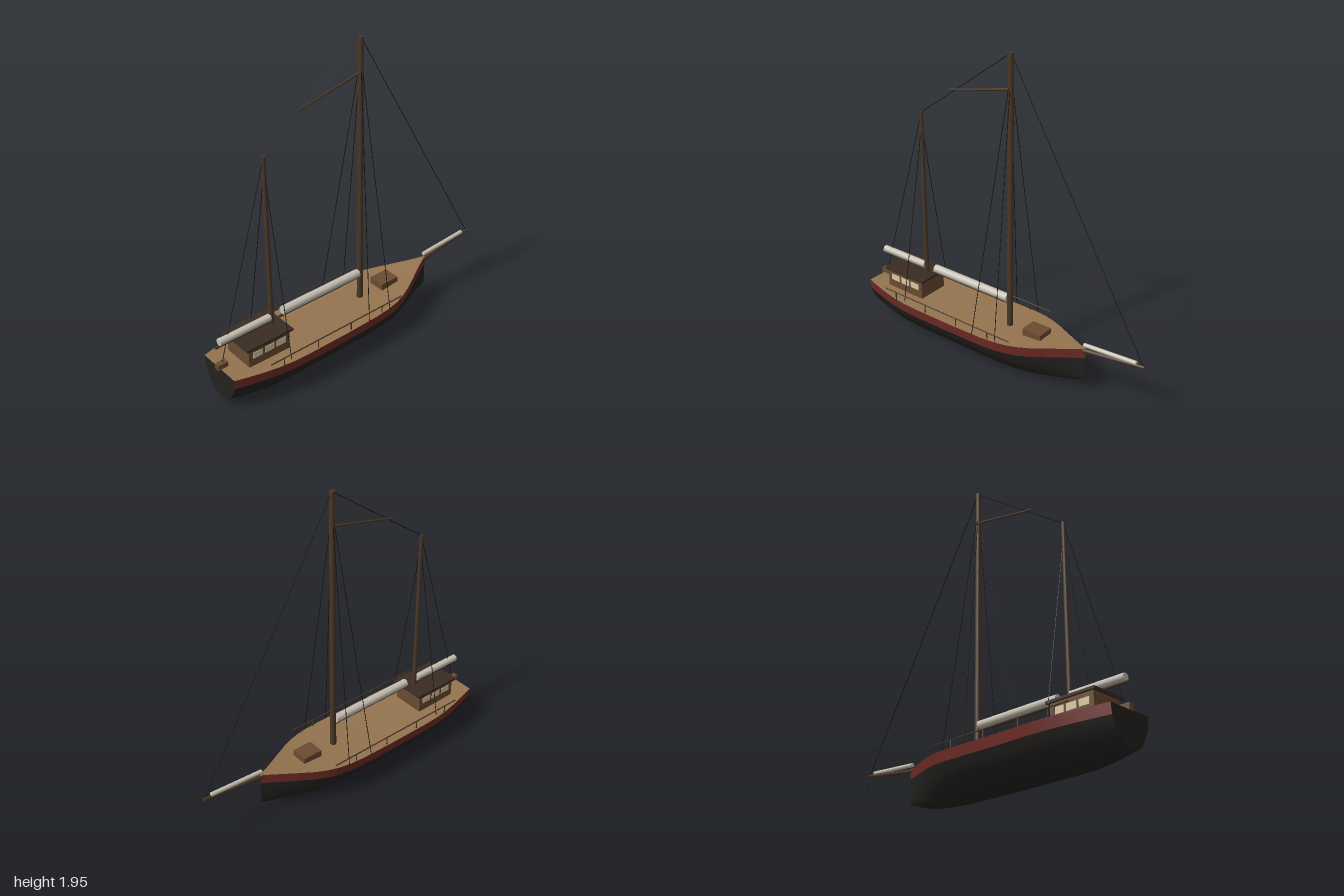
import * as THREE from 'three';

const paint = (color) => new THREE.MeshStandardMaterial({ color });
const MAT = {
  hull: paint(0x24221f), band: paint(0x6e2a25), deck: paint(0x94744f), spar: paint(0x4a3727),
  sail: paint(0xc8c2b4), cabin: paint(0x6b4b30), roof: paint(0x3a2c23), glass: paint(0xd6c9a2), rope: paint(0x151311),
};

// Hull stations from bow (-z) to stern (+z): z, half beam, keel height, sheer height
const STATIONS = [
  [-0.61, 0.003, 0.09, 0.3], [-0.55, 0.03, 0.064, 0.291], [-0.48, 0.067, 0.041, 0.282], [-0.4, 0.11, 0.021, 0.272],
  [-0.32, 0.152, 0.008, 0.263], [-0.25, 0.182, 0.002, 0.257], [-0.18, 0.203, 0, 0.252], [-0.1, 0.216, 0, 0.248],
  [0, 0.222, 0, 0.244], [0.25, 0.224, 0, 0.24], [0.5, 0.224, 0, 0.24], [0.62, 0.22, 0, 0.24],
  [0.72, 0.208, 0.001, 0.241], [0.8, 0.193, 0.008, 0.243], [0.9, 0.169, 0.022, 0.246], [0.985, 0.147, 0.036, 0.25],
];
// Cross-section: height fraction, beam fraction
const SECTION = [[0, 0], [0.075, 0.33], [0.19, 0.57], [0.4, 0.78], [0.56, 0.885], [0.72, 0.96], [1, 1]];
const BAND = 0.062;

function beamAt(t) {
  const i = Math.max(1, SECTION.findIndex((p) => p[0] >= t));
  const [t0, b0] = SECTION[i - 1], [t1, b1] = SECTION[i];
  return b0 + ((b1 - b0) * (t - t0)) / (t1 - t0);
}

// Skin a grid of points; the front faces along (row direction) x (column direction)
function loft(rows) {
  const n = rows[0].length, index = [];
  for (let i = 0; i < rows.length - 1; i++) {
    for (let j = 0; j < n - 1; j++) {
      const a = i * n + j, b = a + n;
      index.push(a, b, a + 1, b, b + 1, a + 1);
    }
  }
  const geo = new THREE.BufferGeometry();
  geo.setAttribute('position', new THREE.Float32BufferAttribute(rows.flat(2), 3));
  geo.setIndex(index);
  geo.computeVertexNormals();
  return geo;
}

export function createModel() {
  const model = new THREE.Group();

  const add = (name, geo, mat) => {
    const mesh = new THREE.Mesh(geo, mat);
    mesh.name = name;
    model.add(mesh);
    return mesh;
  };
  const box = (name, mat, [x0, x1], [y0, y1], [z0, z1]) =>
    add(name, new THREE.BoxGeometry(x1 - x0, y1 - y0, z1 - z0), mat)
      .position.set((x0 + x1) / 2, (y0 + y1) / 2, (z0 + z1) / 2);
  // Round bar between two points
  const bar = (name, mat, from, to, r0, r1 = r0, sides = 8) => {
    const a = new THREE.Vector3(...from), b = new THREE.Vector3(...to);
    const dir = b.clone().sub(a);
    const mesh = add(name, new THREE.CylinderGeometry(r1, r0, dir.length(), sides), mat);
    mesh.position.copy(a).add(b).multiplyScalar(0.5);
    mesh.quaternion.setFromUnitVectors(new THREE.Vector3(0, 1, 0), dir.normalize());
  };
  const rope = (name, from, to) => bar(name, MAT.rope, from, to, 0.0022, 0.0022, 5);

  // Hull
  const point = ([z, w, k, s], t, side) => [side * w * beamAt(t), k + (s - k) * t, z];
  const bandStart = ([, , k, s]) => 1 - BAND / (s - k);
  const lowerHeights = (st) => [bandStart(st), 0.56, 0.4, 0.19, 0.075];
  add('hull', loft(STATIONS.map((st) => {
    const ts = lowerHeights(st);
    return [...ts.map((t) => point(st, t, 1)), point(st, 0, 1),
      ...ts.slice().reverse().map((t) => point(st, t, -1))];
  })), MAT.hull);
  add('leftSheerBand', loft(STATIONS.map((st) => [point(st, 1, 1), point(st, bandStart(st), 1)])), MAT.band);
  add('rightSheerBand', loft(STATIONS.map((st) => [point(st, bandStart(st), -1), point(st, 1, -1)])), MAT.band);
  add('deck', loft(STATIONS.map((st) => [point(st, 1, -1), point(st, 1, 1)])), MAT.deck);
  const stern = STATIONS[STATIONS.length - 1];
  add('transom', loft(SECTION.map(([t]) => [point(stern, t, 1), point(stern, t, -1)])), MAT.hull);

  // Deck house with side windows
  box('cabin', MAT.cabin, [-0.104, 0.104], [0.235, 0.362], [0.568, 0.852]);
  box('cabinRoof', MAT.roof, [-0.118, 0.118], [0.361, 0.376], [0.548, 0.867]);
  for (const side of [-1, 1]) {
    for (const z of [0.627, 0.709, 0.791]) {
      box('window', MAT.glass, [side * 0.104 - 0.003, side * 0.104 + 0.003], [0.294, 0.334], [z - 0.033, z + 0.033]);
    }
  }
  box('foreHatch', MAT.cabin, [-0.054, 0.054], [0.24, 0.297], [-0.323, -0.193]);
  box('sternBlock', MAT.cabin, [-0.018, 0.018], [0.245, 0.28], [0.935, 1]);

  // Masts and spars
  bar('mainMast', MAT.spar, [0, 0.235, -0.057], [0, 1.95, -0.057], 0.019, 0.016, 12);
  bar('mizzenMast', MAT.spar, [0, 0.235, 0.614], [0, 1.46, 0.614], 0.015, 0.012, 12);
  bar('gaff', MAT.spar, [0, 1.74, -0.05], [0, 1.645, 0.385], 0.008, 0.006);
  bar('mainBoom', MAT.spar, [0, 0.397, -0.05], [0, 0.397, 0.56], 0.008);
  bar('mizzenBoom', MAT.spar, [0, 0.397, 0.61], [0, 0.397, 1], 0.008);
  bar('bowsprit', MAT.spar, [0, 0.282, -0.58], [0, 0.338, -0.997], 0.014, 0.01);

  // Furled sails
  bar('furledMainSail', MAT.sail, [0, 0.428, -0.04], [0, 0.428, 0.536], 0.026);
  bar('furledMizzenSail', MAT.sail, [0, 0.425, 0.625], [0, 0.425, 0.975], 0.022);
  bar('furledJib', MAT.sail, [0, 0.322, -0.597], [0, 0.346, -0.945], 0.013);

  // Standing rigging
  rope('foreStay', [0, 1.94, -0.06], [0, 0.34, -0.99]);
  rope('triaticStay', [0, 1.94, -0.05], [0, 1.455, 0.614]);
  rope('backStay', [0, 1.45, 0.614], [0, 0.26, 0.968]);
  bar('bowspritPendant', MAT.rope, [0, 0.285, -0.998], [0, 0.24, -0.998], 0.0008, 0.0008, 4);

  // Shrouds and guard rails, mirrored
  for (const x of [-1, 1]) {
    rope('mainShroud', [0, 1.84, -0.057], [x * 0.218, 0.245, -0.11]);
    rope('mainShroud', [0, 1.84, -0.057], [x * 0.222, 0.243, 0.06]);
    rope('mizzenShroud', [0, 1.38, 0.614], [x * 0.2, 0.243, 0.628]);
    bar('guardRail', MAT.spar, [x * 0.212, 0.292, -0.21], [x * 0.212, 0.292, 0.78], 0.004, 0.004, 6);
    for (const z of [-0.05, 0.195, 0.443, 0.688]) {
      bar('railPost', MAT.spar, [x * 0.212, 0.235, z], [x * 0.212, 0.292, z], 0.004, 0.004, 6);
    }
  }
  return model;
}
